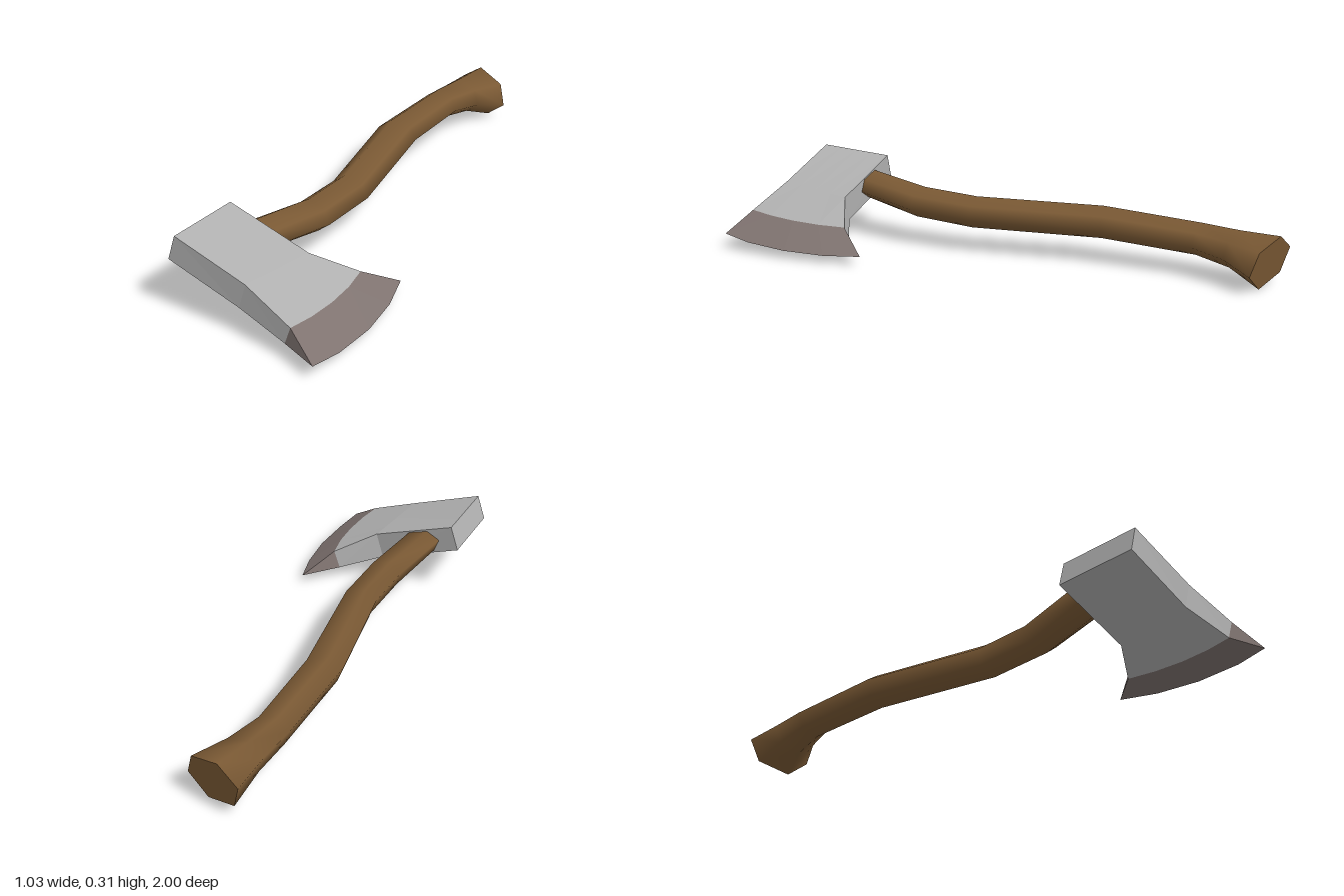
import * as THREE from 'three';

const wood = new THREE.MeshStandardMaterial({ color: 0x7a5934 });
wood.name = 'wood brown';
const steel = new THREE.MeshStandardMaterial({ color: 0xb0b0b0, flatShading: true });
steel.name = 'steel grey';
const ground = new THREE.MeshStandardMaterial({ color: 0x7f7370, flatShading: true });
ground.name = 'ground edge';

function mesh(name, positions, index, material) {
  const g = new THREE.BufferGeometry();
  g.setAttribute('position', new THREE.Float32BufferAttribute(positions.flat(), 3));
  if (index) g.setIndex(index);
  g.computeVertexNormals();
  const m = new THREE.Mesh(g, material);
  m.name = name;
  return m;
}

// Points spaced evenly between two ends
function spread(a, b, n) {
  return Array.from({ length: n }, (_, i) => a.map((v, k) => v + (b[k] - v) * i / (n - 1)));
}

// Curved hexagonal handle, flaring at the knob
function handle() {
  const hex = [[1, -0.3], [0.72, 0.61], [-0.32, 1], [-1, 0.38], [-0.72, -0.61], [0.32, -1]];
  // centre x, y, z, half width, half height, tilt of the section along x and y
  const sections = [
    [-0.393, 0.098, -0.985, 0.125, 0.095, 0.08, -0.16],
    [-0.397, 0.122, -0.84, 0.088, 0.066, 0, -0.08],
    [-0.39, 0.135, -0.69, 0.071, 0.057, -0.15, 0],
    [-0.302, 0.153, -0.315, 0.07, 0.058, -0.5, 0],
    [-0.1, 0.154, 0.16, 0.07, 0.058, -0.3, 0],
    [-0.05, 0.166, 0.4, 0.074, 0.057, -0.1, -0.08],
    [-0.038, 0.205, 0.69, 0.077, 0.05, 0.1, -0.15],
  ];
  const rings = sections.map(([x, y, z, w, h, kx, ky]) => hex.map(([u, v]) =>
    [x + u * w, y + v * h, z + kx * u * w + ky * v * h]));
  const index = [];
  for (let s = 0; s < rings.length - 1; s++) {
    for (let i = 0; i < 6; i++) {
      const a = s * 6 + i, b = s * 6 + (i + 1) % 6;
      index.push(a, b, b + 6, a, b + 6, a + 6);
    }
  }
  const group = new THREE.Group();
  group.name = 'handle';
  const fan = [0, 1, 2, 3].flatMap(i => [0, i + 1, i + 2]);
  group.add(
    mesh('handleShaft', rings.flat(), index, wood),
    mesh('handleKnobEnd', rings[0], fan.slice().reverse(), wood),
    mesh('handleHeadEnd', rings[rings.length - 1], fan, wood),
  );
  return group;
}

// Wedge head: rows run from poll to cutting edge, columns from back to front
function head() {
  const edge = [[0.35, 0.037, 0.36], [0.42, 0.033, 0.49], [0.477, 0.036, 0.65],
    [0.508, 0.045, 0.82], [0.514, 0.06, 0.945]];
  const bevel = [[0.29, 0.115, 0.5], [0.333, 0.118, 0.6], [0.364, 0.122, 0.71],
    [0.382, 0.128, 0.82], [0.387, 0.135, 0.92]];
  const top = [
    spread([-0.165, 0.295, 0.69], [-0.1, 0.311, 0.99], 5),
    spread([0.16, 0.19, 0.622], [0.185, 0.215, 0.93], 5),
    bevel, edge,
  ];
  const drop = [[-0.03, -0.098, 0.01], [-0.03, -0.1, 0.008], [-0.025, -0.07, 0.005], [0, 0, 0]];
  const bottom = top.map((row, r) => row.map(p => p.map((v, k) => v + drop[r][k])));

  const build = (name, r0, r1, material) => {
    const tris = [];
    const quad = (a, b, c, d) => tris.push(...a, ...b, ...c, ...a, ...c, ...d);
    for (let r = r0; r < r1; r++) {
      for (let c = 0; c < 4; c++) {
        quad(top[r][c], top[r][c + 1], top[r + 1][c + 1], top[r + 1][c]);
        quad(bottom[r][c], bottom[r + 1][c], bottom[r + 1][c + 1], bottom[r][c + 1]);
      }
      quad(top[r][4], bottom[r][4], bottom[r + 1][4], top[r + 1][4]);
      quad(top[r][0], top[r + 1][0], bottom[r + 1][0], bottom[r][0]);
    }
    // Flat poll
    if (r0 === 0) quad(top[0][0], bottom[0][0], bottom[0][4], top[0][4]);
    return mesh(name, tris, null, material);
  };

  const group = new THREE.Group();
  group.name = 'axeHead';
  group.add(build('headBody', 0, 2, steel), build('cuttingEdge', 2, 3, ground));
  return group;
}

export function createModel() {
  const model = new THREE.Group();
  model.name = 'axe';
  model.add(handle(), head());
  return model;
}
